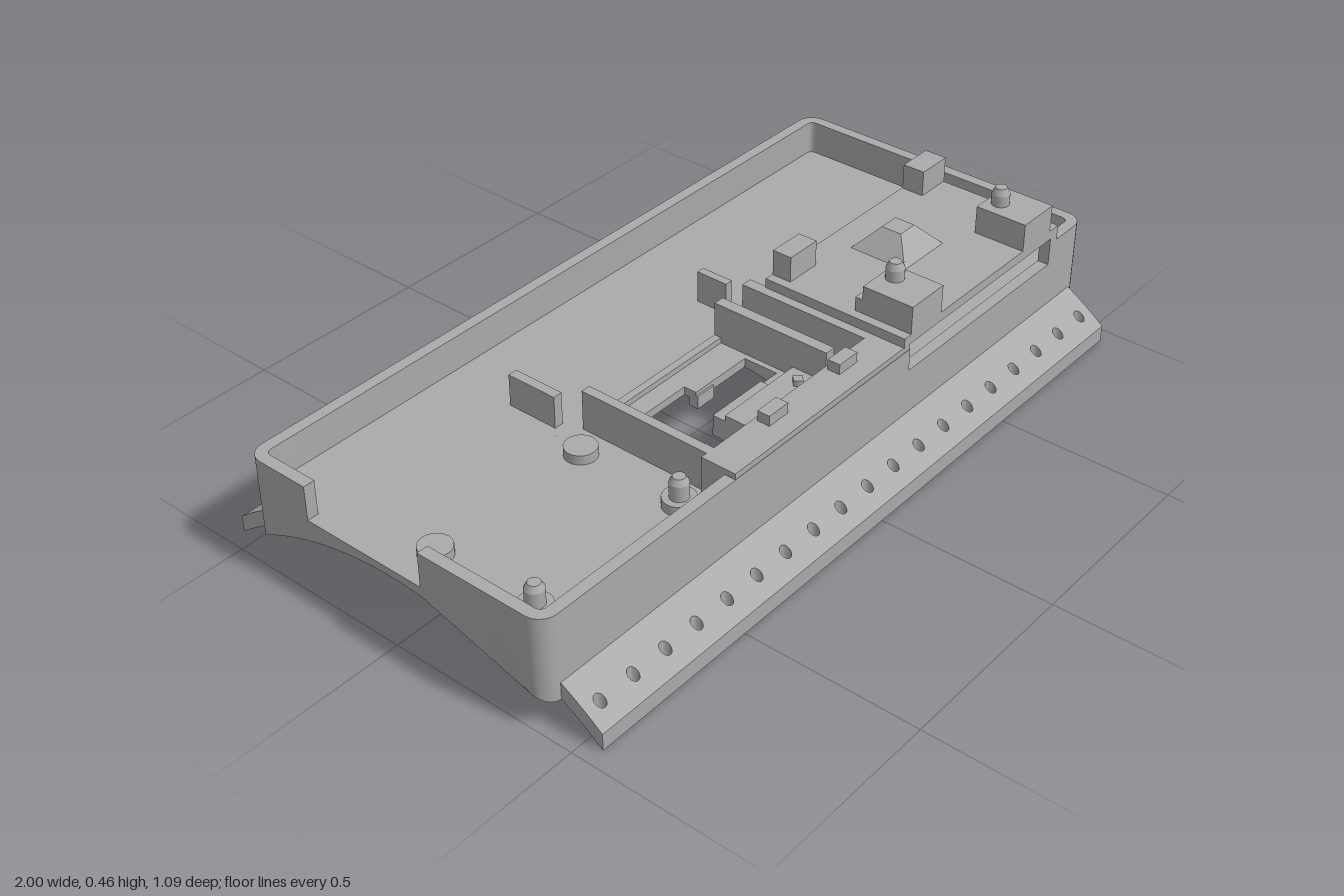
import * as THREE from 'three';
import { toCreasedNormals } from 'three/addons/utils/BufferGeometryUtils.js';

const R = 0.877, CROWN = 0.19, FLOOR = 0.21, RIM = 0.3;
// Height of the arched underside at depth z
const arch = (z) => CROWN - R + Math.sqrt(R * R - z * z);

export function createModel() {
  const model = new THREE.Group();
  const grey = new THREE.MeshStandardMaterial({ color: 0xaaaaaa });
  grey.name = 'plain grey';

  function add(name, geo, parent = model) {
    const mesh = new THREE.Mesh(geo, grey);
    mesh.name = name;
    parent.add(mesh);
    return mesh;
  }
  function group(name) {
    const g = new THREE.Group();
    g.name = name;
    model.add(g);
    return g;
  }
  function box(name, x0, x1, y0, y1, z0, z1, parent) {
    const geo = new THREE.BoxGeometry(x1 - x0, y1 - y0, z1 - z0);
    geo.translate((x0 + x1) / 2, (y0 + y1) / 2, (z0 + z1) / 2);
    return add(name, geo, parent);
  }
  // Flat-topped block whose bottom follows the arch
  function slab(name, x0, x1, z0, z1, top, parent) {
    const geo = new THREE.BoxGeometry(x1 - x0, 1, z1 - z0, 1, 1, Math.max(1, Math.ceil((z1 - z0) / 0.03)));
    geo.translate((x0 + x1) / 2, 0, (z0 + z1) / 2);
    const p = geo.attributes.position;
    for (let i = 0; i < p.count; i++) p.setY(i, p.getY(i) > 0 ? top : arch(p.getZ(i)));
    geo.computeVertexNormals();
    return add(name, geo, parent);
  }
  function cyl(name, r0, r1, x, y0, y1, z, parent, sides = 20) {
    const geo = new THREE.CylinderGeometry(r1, r0, y1 - y0, sides);
    geo.translate(x, (y0 + y1) / 2, z);
    return add(name, geo, parent);
  }
  // Upright extrusion of a plan shape drawn in (x, -z); yOf sets the heights
  function plan(name, shape, yOf, parent) {
    const geo = new THREE.ExtrudeGeometry(shape, { depth: 1, bevelEnabled: false, curveSegments: 8 });
    geo.rotateX(-Math.PI / 2);
    const p = geo.attributes.position;
    for (let i = 0; i < p.count; i++) p.setY(i, yOf(p.getY(i), p.getZ(i)));
    return add(name, toCreasedNormals(geo, 0.6), parent);
  }

  // Floor with openings, laid in strips between the opening edges
  const openings = [
    [-0.32, -0.11, 0.05, 0.085], [-0.32, 0.07, 0.085, 0.18],
    [-0.32, -0.165, 0.18, 0.215], [-0.28, -0.165, 0.215, 0.26],
    [0.35, 0.73, -0.05, 0.12], [0.66, 0.8, 0.2, 0.3],
    [0.5, 0.58, 0.2, 0.29], [0.38, 0.44, 0.2, 0.28], [0.23, 0.32, 0.1, 0.2],
  ];
  const floor = group('floor');
  const cuts = [...new Set([-0.405, 0.405, ...openings.flatMap((o) => [o[2], o[3]])])].sort((a, b) => a - b);
  for (let i = 0; i < cuts.length - 1; i++) {
    const [z0, z1] = [cuts[i], cuts[i + 1]];
    let x = -0.97;
    openings.filter((o) => o[2] <= z0 && o[3] >= z1).sort((a, b) => a[0] - b[0]).forEach((o) => {
      slab('floorStrip', x, o[0], z0, z1, FLOOR, floor);
      x = o[1];
    });
    slab('floorStrip', x, 0.97, z0, z1, FLOOR, floor);
  }
  slab('notchSill', -1, -0.97, -0.25, 0.09, FLOOR, floor);
  slab('frontSlotSill', 0.24, 0.84, 0.405, 0.435, 0.24, floor);

  // Rounded outer walls, broken by the end notch and the front slot
  const corners = [[-1, -1], [1, -1], [1, 1], [-1, 1]];
  function edge(hx, hz, r, start, ids, end) {
    const pts = [start];
    for (const i of ids) {
      for (let k = 0; k <= 6; k++) {
        const a = Math.PI + (i + k / 6) * Math.PI / 2;
        pts.push([corners[i][0] * (hx - r) + r * Math.cos(a), corners[i][1] * (hz - r) + r * Math.sin(a)]);
      }
    }
    pts.push(end);
    const fine = [];
    for (let i = 0; i < pts.length - 1; i++) {
      const [a, b] = [pts[i], pts[i + 1]];
      const n = Math.max(1, Math.ceil(Math.abs(b[1] - a[1]) / 0.04));
      for (let k = 0; k < n; k++) fine.push([a[0] + (b[0] - a[0]) * k / n, a[1] + (b[1] - a[1]) * k / n]);
    }
    fine.push(end);
    return fine;
  }
  function wall(name, outer, inner) {
    const pts = [...outer, ...inner.reverse()].map(([x, z]) => new THREE.Vector2(x, -z));
    plan(name, new THREE.Shape(pts), (h, z) => (h > 0.5 ? RIM : arch(z)));
  }
  wall('backAndLeftWall',
    edge(1, 0.435, 0.045, [-1, -0.25], [0, 1, 2], [0.84, 0.435]),
    edge(0.97, 0.405, 0.015, [-0.97, -0.25], [0, 1, 2], [0.84, 0.405]));
  wall('frontAndRightWall',
    edge(1, 0.435, 0.045, [0.24, 0.435], [3], [-1, 0.09]),
    edge(0.97, 0.405, 0.015, [0.24, 0.405], [3], [-0.97, 0.09]));

  // Sloping perforated flanges along both long sides
  for (const s of [1, -1]) {
    const shape = new THREE.Shape();
    const steps = 5, z = (k) => 0.425 + 0.12 * k / steps;
    shape.moveTo(-0.955, -s * z(0));
    for (let k = 1; k <= steps; k++) shape.lineTo(-0.955, -s * z(k));
    for (let k = steps; k >= 0; k--) shape.lineTo(0.955, -s * z(k));
    for (let i = 0; i < 19; i++) {
      const hole = new THREE.Path();
      hole.absarc(-0.911 + i * 0.1012, -s * 0.5, 0.014, 0, Math.PI * 2, false);
      shape.holes.push(hole);
    }
    plan(s > 0 ? 'frontFlange' : 'backFlange', shape, (h, zz) => arch(zz) + h * 0.044);
  }

  // Mounting pads, the front pair with pins
  const pads = group('mountingPads');
  for (const x of [-0.905, -0.455]) {
    for (const z of [0.04, 0.325]) cyl('pad', 0.04, 0.04, x, FLOOR, 0.235, z, pads);
    cyl('padPin', 0.023, 0.023, x, 0.235, 0.275, 0.325, pads);
    cyl('padPinTip', 0.023, 0.015, x, 0.275, 0.29, 0.325, pads);
  }

  // Small upright stops on the floor
  box('leftStop', -0.42, -0.395, FLOOR, 0.295, -0.21, -0.07);
  box('rightStop', 0.19, 0.212, FLOOR, 0.295, -0.16, -0.07);

  // Open compartment with its front deck
  const bay = group('compartment');
  box('bayDeck', -0.4, 0.24, 0.2, 0.315, 0.34, 0.434, bay);
  box('bayShelf', -0.36, 0.19, 0.2, 0.275, 0.31, 0.34, bay);
  box('baySideWall', -0.382, -0.357, 0.2, 0.315, -0.02, 0.34, bay);
  box('bayDivider', 0.085, 0.115, 0.2, 0.315, -0.02, 0.31, bay);
  box('bayRail', 0.19, 0.22, 0.2, 0.315, -0.02, 0.34, bay);
  box('bayBackLip', -0.357, 0.085, 0.2, 0.225, -0.02, 0, bay);
  box('bayStep', -0.165, 0.085, 0.17, 0.235, 0.215, 0.31, bay);
  box('bayTongue', -0.165, 0.01, 0.17, 0.22, 0.18, 0.215, bay);
  box('lowerTab', -0.11, -0.05, 0.165, 0.2, 0.065, 0.09, bay);
  box('lowerTab', -0.165, -0.1, 0.165, 0.2, 0.18, 0.2, bay);
  for (const x of [-0.3, 0.04]) cyl('bayPeg', 0.016, 0.016, x, 0.2, 0.25, 0.265, bay, 4);
  for (const x of [-0.187, 0.068]) box('deckTab', x - 0.033, x + 0.033, 0.315, 0.342, 0.35, 0.384, bay);

  // Raised platform with blocks, pins and truncated pyramid
  const platform = group('platform');
  box('platformDeck', 0.215, 0.87, 0.315, 0.34, 0.03, 0.435, platform);
  box('platformFrontPost', 0.84, 0.87, 0.28, 0.316, 0.395, 0.435, platform);
  box('platformRearPost', 0.82, 0.87, FLOOR, 0.32, 0.035, 0.09, platform);
  box('rearBlock', 0.24, 0.34, 0.33, 0.408, 0.032, 0.085, platform);
  box('rearBlock', 0.775, 0.872, 0.33, 0.408, 0.032, 0.093, platform);
  box('smallBlock', 0.24, 0.265, 0.33, 0.377, 0.275, 0.3, platform);
  for (const [x0, x1, px] of [[0.24, 0.362, 0.317], [0.71, 0.832, 0.76]]) {
    box('pinBlock', x0, x1, 0.33, 0.414, 0.295, 0.435, platform);
    cyl('platformPin', 0.023, 0.023, px, 0.41, 0.443, 0.33, platform);
    cyl('platformPinTip', 0.023, 0.015, px, 0.443, 0.46, 0.33, platform);
  }
  const pyramid = new THREE.CylinderGeometry(0.028 * Math.SQRT2, 0.08 * Math.SQRT2, 0.056, 4);
  pyramid.rotateY(Math.PI / 4);
  pyramid.translate(0.538, 0.368, 0.183);
  add('pyramid', toCreasedNormals(pyramid, 0.5), platform);

  return model;
}
